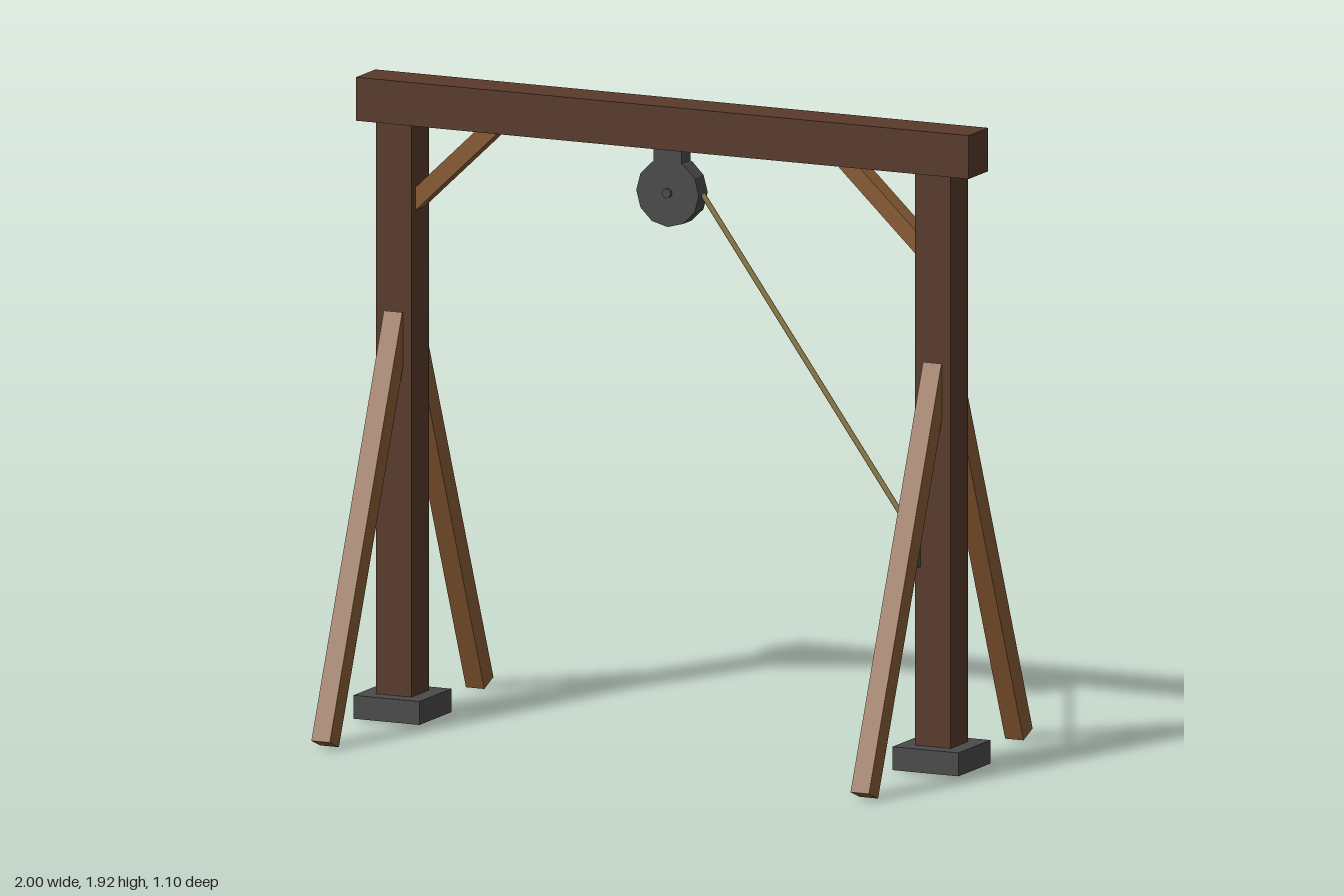
import * as THREE from 'three';

const mat = (name, color) => {
  const m = new THREE.MeshStandardMaterial({ color });
  m.name = name;
  return m;
};

export function createModel() {
  const model = new THREE.Group();
  model.name = 'hoistFrame';
  const darkWood = mat('darkWood', 0x5a3a2b);
  const lightWood = mat('lightWood', 0x8a5c34);
  const iron = mat('iron', 0x4a4a4a);
  const hemp = mat('hemp', 0x8f7d4a);

  const add = (name, geometry, material, x, y, z) => {
    const mesh = new THREE.Mesh(geometry, material);
    mesh.name = name;
    mesh.position.set(x, y, z);
    model.add(mesh);
    return mesh;
  };
  const box = (name, material, w, h, d, x, y, z) =>
    add(name, new THREE.BoxGeometry(w, h, d), material, x, y, z);

  // A part whose local y axis runs from point a to point b
  const span = (name, makeGeometry, material, a, b) => {
    const from = new THREE.Vector3(...a);
    const to = new THREE.Vector3(...b);
    const mid = from.clone().lerp(to, 0.5);
    const mesh = add(name, makeGeometry(from.distanceTo(to)), material, mid.x, mid.y, mid.z);
    mesh.quaternion.setFromUnitVectors(new THREE.Vector3(0, 1, 0), to.sub(from).normalize());
    return mesh;
  };

  // Top beam
  box('topBeam', darkWood, 2, 0.13, 0.13, 0, 1.85, 0);

  // Posts with feet, raking braces and knee braces
  for (const [side, s] of [['left', 1], ['right', -1]]) {
    box(side + 'Post', darkWood, 0.116, 1.79, 0.116, s * 0.88, 0.895, 0);
    box(side + 'Foot', iron, 0.215, 0.07, 0.215, s * 0.88, 0.04, 0);
    for (const [end, f] of [['Front', 1], ['Back', -1]]) {
      span(side + end + 'Brace', (l) => new THREE.BoxGeometry(0.06, l, 0.066), lightWood,
        [s * 0.88, 0.012, f * 0.517], [s * 0.88, 1.212, f * 0.032]);
    }
    span(side + 'KneeBrace', (l) => new THREE.BoxGeometry(0.05, l, 0.06), lightWood,
      [s * 0.86, 1.525, 0], [s * 0.577, 1.793, 0]);
  }

  // Pulley hanging under the beam
  box('pulleyBracket', iron, 0.09, 0.1, 0.06, 0, 1.745, 0);
  const wheel = add('pulleyWheel', new THREE.CylinderGeometry(0.102, 0.102, 0.06, 12).toNonIndexed(),
    iron, 0, 1.65, 0);
  wheel.geometry.computeVertexNormals();
  wheel.rotation.set(Math.PI / 2, Math.PI / 6, 0);
  const axle = add('pulleyAxle', new THREE.CylinderGeometry(0.015, 0.015, 0.08, 8), iron, 0, 1.65, 0);
  axle.rotation.x = Math.PI / 2;

  // Rope running down to the cleat on the left post
  span('rope', (l) => new THREE.CylinderGeometry(0.008, 0.008, l, 6), hemp,
    [0.1, 1.65, 0], [0.822, 0.665, 0.02]);
  box('ropeCleat', iron, 0.034, 0.12, 0.036, 0.822, 0.67, 0.073);

  return model;
}
